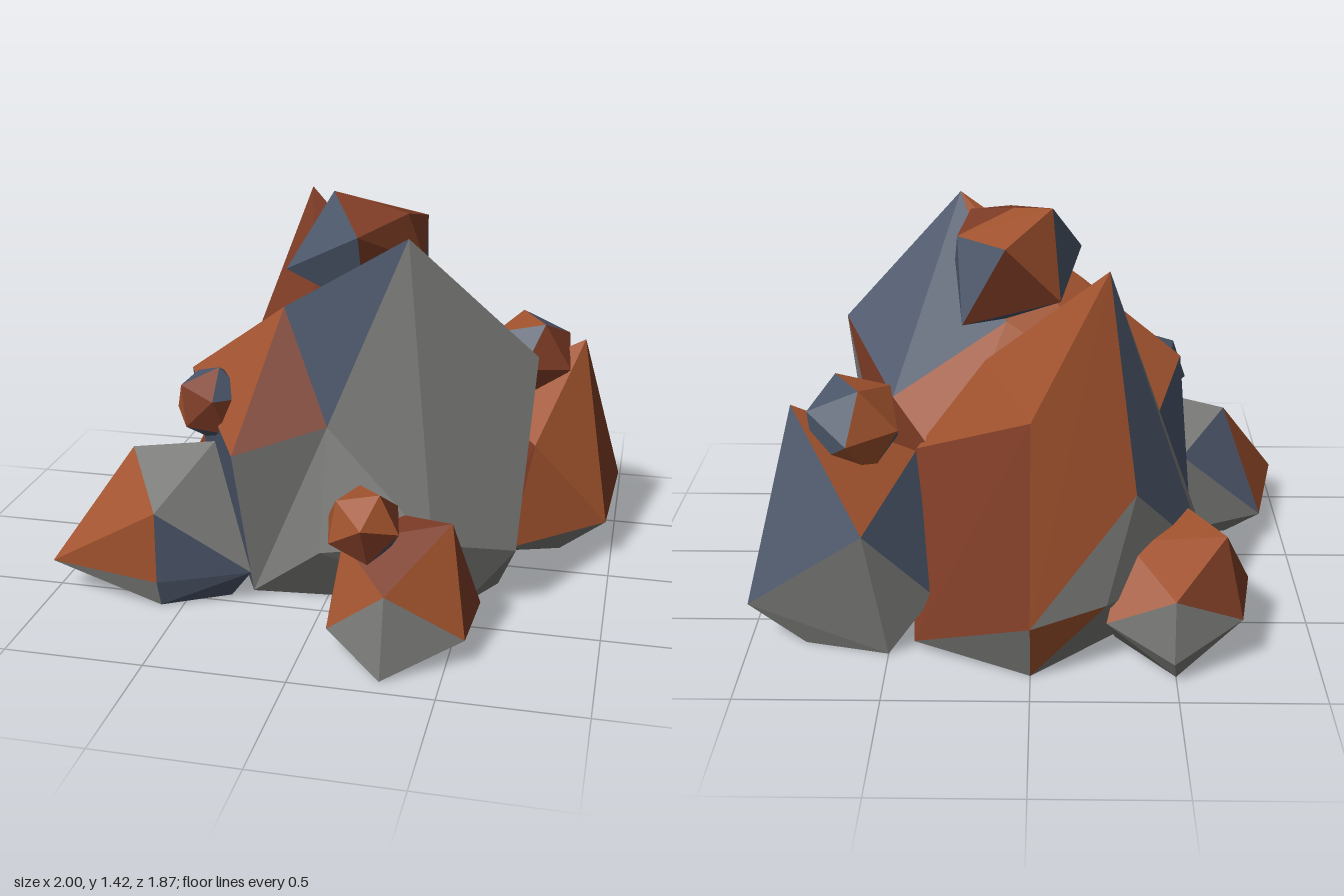
import * as THREE from 'three';
import { ConvexGeometry } from 'three/addons/geometries/ConvexGeometry.js';

const stoneGrey = new THREE.MeshStandardMaterial({ color: 0x787876 });
const rust = new THREE.MeshStandardMaterial({ color: 0xa0522d });
const slateBlue = new THREE.MeshStandardMaterial({ color: 0x4a5568 });
const darkRust = new THREE.MeshStandardMaterial({ color: 0x7c3b25 });
const palette = [stoneGrey, rust, slateBlue, darkRust];
const G = 0, R = 1, B = 2, D = 3;

// Faceted rock: hull of its corners; dents [from, to] then press single corners inward;
// each facet takes the colour of the nearest paint spot [x, y, z, colour]
function rock(name, corners, spots, dents = []) {
  const geo = new ConvexGeometry(corners.map((p) => new THREE.Vector3(...p)));
  const pos = geo.attributes.position;
  const v = new THREE.Vector3();
  for (const [from, to] of dents) {
    const start = new THREE.Vector3(...from);
    for (let i = 0; i < pos.count; i++) {
      if (v.fromBufferAttribute(pos, i).distanceTo(start) < 1e-4) pos.setXYZ(i, ...to);
    }
  }
  geo.computeVertexNormals();
  for (let i = 0; i < pos.count; i += 3) {
    const c = new THREE.Vector3();
    for (let k = 0; k < 3; k++) c.add(v.fromBufferAttribute(pos, i + k));
    c.divideScalar(3);
    let best = Infinity, colour = G;
    for (const [x, y, z, m] of spots) {
      const d = c.distanceToSquared(v.set(x, y, z));
      if (d < best) { best = d; colour = m; }
    }
    geo.addGroup(i, 3, colour);
  }
  const mesh = new THREE.Mesh(geo, palette);
  mesh.name = name;
  return mesh;
}

// Small twenty-sided pebble; its paint spots are directions from the centre
function pebble(name, radius, centre, turn, spots) {
  const t = (1 + Math.sqrt(5)) / 2;
  const euler = new THREE.Euler(...turn);
  const corners = [];
  for (const a of [-1, 1]) for (const b of [-t, t]) {
    for (const p of [[0, a, b], [a, b, 0], [b, 0, a]]) {
      corners.push(new THREE.Vector3(...p).applyEuler(euler).setLength(radius).toArray());
    }
  }
  const mesh = rock(name, corners, spots.map(([x, y, z, m]) => {
    return [...new THREE.Vector3(x, y, z).setLength(radius).toArray(), m];
  }));
  mesh.position.set(...centre);
  return mesh;
}

export function createModel() {
  const group = new THREE.Group();
  group.name = 'rockPile';

  // Tall boulder at the front
  group.add(rock('frontBoulder', [
    [0.285, 1.37, 0.39], [-0.185, 1.065, 0.32], [0.72, 0.925, 0.21], [0, 0.67, 0.63],
    [0.33, 0.58, 0.48], [-0.33, 0.565, 0.48], [-0.565, 0.78, 0.17], [0, 0.24, 0.52],
    [0.4, 0.3, 0.49], [0.68, 0.24, 0.35], [-0.28, 0, 0.4], [0.5, 0, 0.33], [0.6, 0, 0.15],
    [-0.45, 0.69, -0.23], [0.51, 0.76, -0.2], [-0.6, 0.25, -0.1], [-0.3, 0, -0.1],
    [0.5, 0.1, -0.2], [0.1, 0.98, 0], [0.3, 0.55, -0.4],
  ], [
    [0.03, 1.03, 0.35, B], [-0.17, 0.77, 0.38, D], [-0.36, 0.8, 0.3, R], [-0.4, 0.84, 0.07, R],
    [0.5, 1.02, 0.13, B], [0.07, 1.14, 0.22, B], [0.3, 1.04, 0.06, B], [-0.18, 0.91, 0.01, R],
    [0.05, 0.81, -0.14, R], [0.3, 0.76, -0.2, R], [0.1, 0.7, -0.25, R], [0.64, 0.65, 0, D],
    [0.45, 0.5, -0.27, D], [-0.48, 0.5, 0.2, B], [-0.4, 0.4, 0.3, B], [-0.54, 0.57, -0.05, B],
    [0.2, 0.87, 0.42, G], [0.45, 0.95, 0.38, G], [0.58, 0.6, 0.38, G], [0.7, 0.5, 0.28, G],
    [-0.1, 0.5, 0.5, G], [-0.2, 0.25, 0.47, G], [0.25, 0.35, 0.5, G], [0.6, 0.2, 0.2, G],
    [0.1, 0, 0.2, G],
  ], [
    [[0, 0.67, 0.63], [0, 0.67, 0.39]],
    [[-0.185, 1.065, 0.32], [-0.185, 1.065, 0.26]],
  ]));

  // Pointed boulder at the back
  group.add(rock('backBoulder', [
    [-0.26, 1.34, -0.49], [0, 0.9, -0.74], [0, 0.24, -0.94], [0.41, 0.04, -0.7],
    [-0.36, 0.6, -0.66], [-0.45, 0.69, -0.23], [-0.63, 0.25, -0.43], [-0.62, 0.25, -0.1],
    [-0.26, 0.25, -0.8], [0.165, 0.95, -0.31], [0.42, 0.6, -0.3], [-0.16, 0.96, -0.07],
    [0, 0, -0.85], [0.3, 0, -0.65], [-0.5, 0, -0.4], [-0.4, 0, 0], [0.3, 0, 0],
  ], [
    [-0.2, 0.95, -0.63, R], [-0.12, 0.58, -0.78, R], [0.14, 0.4, -0.8, D],
    [0.2, 0.7, -0.6, D], [-0.03, 1.06, -0.51, R], [-0.08, 1.08, -0.29, D], [0.25, 0.82, -0.4, R],
    [-0.36, 0.88, -0.46, B], [-0.29, 1.0, -0.26, D], [-0.1, 0.37, -0.85, R],
    [-0.45, 0.5, -0.5, G], [-0.57, 0.4, -0.27, G], [-0.3, 0.35, -0.75, G],
    [0.15, 0.08, -0.83, G], [-0.5, 0.1, -0.3, G], [0, 0, -0.4, G],
  ]));

  // Block resting on top
  group.add(rock('topRock', [
    [0.07, 1.41, 0.02], [-0.07, 1.425, -0.04], [0.095, 1.33, -0.23], [0.27, 1.34, -0.1],
    [0.23, 1.385, 0.09], [0.09, 1.34, 0.3], [-0.18, 1.2, 0.24], [0.25, 1.05, -0.23],
    [0.29, 1.2, 0.06], [0.1, 1, -0.02], [-0.1, 1.1, -0.12], [0.1, 1.06, 0.22],
  ], [
    [0.13, 1.38, 0.14, D], [0.03, 1.39, -0.08, R], [0.15, 1.36, -0.1, R], [0.19, 1.38, 0, D],
    [0.2, 1.31, 0.15, D], [0.16, 1.2, 0.19, D], [0.27, 1.2, -0.09, B], [0.27, 1.31, 0.02, D],
    [0.21, 1.08, -0.06, R], [0.16, 1.09, 0.09, R], [-0.05, 1.32, 0.17, B], [0, 1.2, 0.25, B],
    [-0.12, 1.25, 0.03, B], [0.2, 1.24, -0.19, B], [0.08, 1.05, -0.12, B],
    [-0.02, 1.28, -0.13, R], [0.08, 1.16, -0.19, D], [-0.06, 1.1, 0.1, B],
  ]));

  // Low rock at the front
  group.add(rock('lowFrontRock', [
    [0.3, 0.275, 0.86], [0.49, 0.45, 0.62], [0.115, 0.36, 0.65], [0.045, 0.09, 0.5],
    [0.575, 0.09, 0.48], [0.085, 0.09, 0.78], [0.56, 0.09, 0.76], [0.3, 0, 0.93],
    [0.17, 0, 0.5], [0.44, 0, 0.5], [0.3, 0.4, 0.48],
  ], [
    [0.3, 0.36, 0.7, D], [0.17, 0.24, 0.76, R], [0.45, 0.27, 0.75, R], [0.54, 0.21, 0.62, D],
    [0.08, 0.18, 0.64, D], [0.3, 0.4, 0.57, D], [0.3, 0.17, 0.48, R],
    [0.23, 0.12, 0.86, G], [0.39, 0.12, 0.85, G],
    [0.3, 0.02, 0.7, G], [0.5, 0.04, 0.62, G], [0.12, 0.04, 0.62, G],
  ]));

  // Wide rock at the side
  group.add(rock('wideSideRock', [
    [-1, 0.125, 0.56], [-0.9, 0.125, 0.11], [-0.585, 0.37, 0.6], [-0.76, 0.5, 0.31],
    [-0.43, 0.565, 0.35], [-0.26, 0.125, 0.5], [-0.585, 0.1, 0.605], [-0.58, 0.4, 0.06],
    [-0.78, 0, 0.45], [-0.78, 0, 0.2], [-0.35, 0, 0.45], [-0.4, 0, 0.1], [-0.58, 0, 0.58],
  ], [
    [-0.78, 0.33, 0.49, R], [-0.86, 0.2, 0.57, R], [-0.89, 0.25, 0.33, R],
    [-0.6, 0.48, 0.42, G], [-0.6, 0.5, 0.25, G], [-0.42, 0.35, 0.48, G],
    [-0.47, 0.2, 0.57, B], [-0.75, 0.34, 0.16, B], [-0.7, 0.15, 0.1, G],
    [-0.6, 0, 0.3, G], [-0.9, 0.08, 0.33, G], [-0.8, 0.04, 0.54, G],
  ]));

  // Steep rock on the other side
  group.add(rock('steepSideRock', [
    [0.85, 0.81, -0.39], [0.7, 0.49, -0.04], [0.57, 0.49, -0.77], [1, 0.155, -0.65],
    [0.975, 0.155, -0.145], [0.62, 0.05, -0.06], [0.34, 0.2, -0.66], [0.42, 0.6, -0.32],
    [0.8, 0, -0.2], [0.8, 0, -0.65], [0.5, 0, -0.72], [0.5, 0, -0.1],
  ], [
    [0.84, 0.48, -0.19, R], [0.94, 0.37, -0.4, D], [0.76, 0.24, -0.08, R],
    [0.66, 0.63, -0.25, R], [0.61, 0.63, -0.49, R], [0.8, 0.48, -0.6, B], [0.44, 0.43, -0.58, B],
    [0.55, 0.3, -0.1, D], [0.6, 0.2, -0.74, G], [0.9, 0.07, -0.4, G], [0.79, 0.07, -0.13, G],
    [0.65, 0, -0.4, G], [0.82, 0.18, -0.7, G],
  ]));

  // Low rock at the back
  group.add(rock('lowBackRock', [
    [-0.68, 0.42, -0.62], [-0.33, 0.4, -0.62], [-0.49, 0.3, -0.86], [-0.73, 0.18, -0.77],
    [-0.79, 0.15, -0.43], [-0.49, 0.08, -0.9], [-0.26, 0.18, -0.8], [-0.52, 0.45, -0.4],
    [-0.5, 0, -0.85], [-0.7, 0, -0.5], [-0.3, 0, -0.6],
  ], [
    [-0.5, 0.38, -0.7, R], [-0.51, 0.43, -0.55, R], [-0.63, 0.3, -0.75, D],
    [-0.73, 0.25, -0.61, D], [-0.67, 0.34, -0.48, D], [-0.36, 0.29, -0.76, R],
    [-0.57, 0.18, -0.85, G], [-0.41, 0.18, -0.86, G], [-0.72, 0.1, -0.57, G], [-0.5, 0, -0.7, G],
  ]));

  // Small pebbles lodged on the larger rocks
  group.add(pebble('frontPebble', 0.14, [0.2, 0.46, 0.71], [0.3, 0.2, 0.1], [
    [0, 1, 0.3, R], [-1, 0.3, 0.5, R], [1, 0.2, 0.3, R], [0.2, 0.1, 1, D], [0.6, 0.7, 0, D],
    [-0.5, 0.8, -0.5, B], [0.3, -0.9, 0.4, B], [-0.5, -0.8, 0.2, B], [0.8, -0.3, -0.4, B], [0, 0, -1, D],
  ]));
  group.add(pebble('sidePebble', 0.145, [-0.455, 0.69, 0.28], [0.2, 0.5, 0.3], [
    [-0.8, 0.1, 0.6, R], [-0.2, 0.4, 0.9, D], [0.1, -0.4, 0.9, D], [0.8, 0.4, 0.3, B],
    [-0.5, 0.8, 0, B], [0.3, 0.9, 0.3, R], [-0.5, -0.8, 0.3, B], [0.9, -0.3, 0.3, D], [-0.8, 0, -0.5, B],
  ]));
  group.add(pebble('highPebble', 0.19, [0.635, 0.73, -0.37], [0.5, 0.1, 0.2], [
    [0.1, 1, 0.1, R], [-0.5, 0.7, 0.4, B], [0.5, 0.7, -0.5, B], [0.3, 0.7, 0.7, B],
    [0.5, 0.2, 0.9, D], [1, 0.2, 0.3, D], [-0.2, 0.1, 1, D], [1, 0, -0.4, B],
    [-0.8, 0.3, -0.6, R], [-1, 0.1, 0.2, B], [0, 0, -1, R], [0, -1, 0, D],
  ]));
  return group;
}
